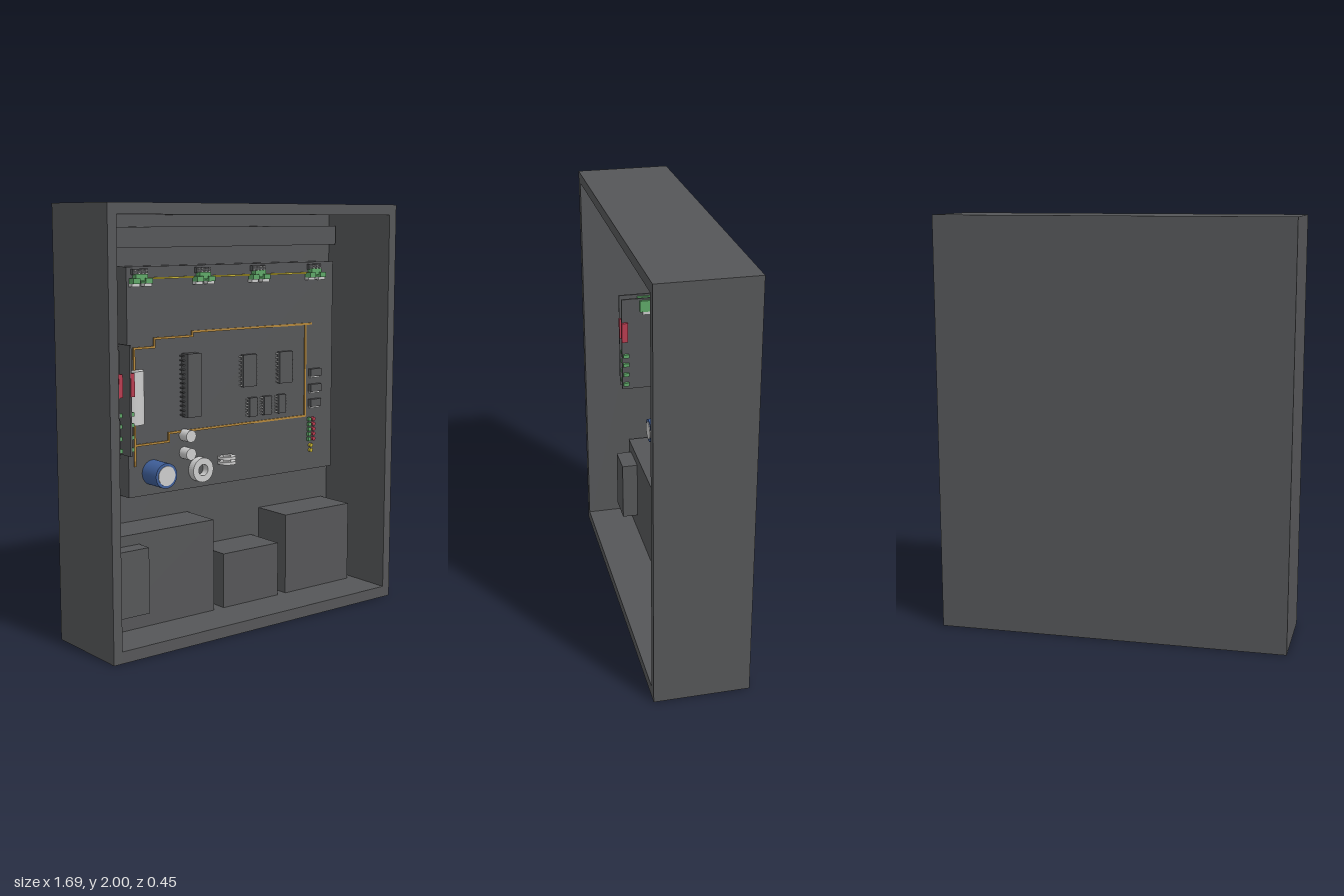
import * as THREE from 'three';

const mat = (color) => new THREE.MeshStandardMaterial({ color });
const DARK = mat(0x555658), GREY = mat(0xcccccc), GREEN = mat(0x5fa868), RED = mat(0xb83c50);
const COPPER = mat(0xb5883c), YELLOW = mat(0xc8b432), BLUE = mat(0x3f5f9a);
const BACK = -0.215, BOARD = -0.14; // inner face of the back wall, front face of the main board

export function createModel() {
  const model = new THREE.Group();

  const add = (parent, name, geometry, material, x = 0, y = 0, z = 0) => {
    const mesh = new THREE.Mesh(geometry, material);
    mesh.name = name;
    mesh.position.set(x, y, z);
    parent.add(mesh);
    return mesh;
  };
  // Box given by its limits on each axis
  const block = (parent, name, m, x0, x1, y0, y1, z0, z1) =>
    add(parent, name, new THREE.BoxGeometry(x1 - x0, y1 - y0, z1 - z0), m,
      (x0 + x1) / 2, (y0 + y1) / 2, (z0 + z1) / 2);
  // Cylinder standing out from the board
  const stud = (parent, name, m, x, y, r, z0, z1, seg = 32) => {
    const mesh = add(parent, name, new THREE.CylinderGeometry(r, r, z1 - z0, seg), m, x, y, (z0 + z1) / 2);
    mesh.rotation.x = Math.PI / 2;
    return mesh;
  };
  const group = (name) => {
    const g = new THREE.Group();
    g.name = name;
    model.add(g);
    return g;
  };
  // Ring of rectangular section around the y axis
  const ring = (r0, r1, h) => {
    const pts = [[r0, -h], [r1, -h], [r1, h], [r0, h], [r0, -h]].map(([r, y]) => new THREE.Vector2(r, y / 2));
    const g = new THREE.LatheGeometry(pts, 40).toNonIndexed();
    g.computeVertexNormals();
    return g;
  };

  // Open-fronted cabinet
  const cabinet = group('cabinet');
  block(cabinet, 'backWall', DARK, -0.845, 0.845, 0, 2, -0.225, BACK);
  for (const s of [-1, 1]) {
    add(cabinet, s < 0 ? 'rightWall' : 'leftWall', new THREE.BoxGeometry(0.045, 2, 0.44), DARK, s * 0.8225, 1, 0.005);
  }
  block(cabinet, 'floor', DARK, -0.8, 0.8, 0, 0.055, BACK, 0.225);
  block(cabinet, 'roof', DARK, -0.8, 0.8, 1.95, 2, BACK, 0.225);
  block(cabinet, 'cableDuct', DARK, -0.79, 0.785, 1.8, 1.895, BACK, -0.15);

  // Power units standing on the floor
  const units = group('powerUnits');
  block(units, 'largeUnit', DARK, -0.77, -0.125, 0.055, 0.505, BACK, 0);
  block(units, 'largeUnitCover', DARK, -0.715, -0.555, 0.145, 0.455, 0, 0.08);
  block(units, 'smallUnit', DARK, -0.065, 0.28, 0.055, 0.325, BACK, 0);
  block(units, 'sideUnit', DARK, 0.33, 0.76, 0.055, 0.46, BACK, 0);

  block(model, 'mainBoard', DARK, -0.515, 0.76, 0.64, 1.715, BACK, BOARD);

  // Copper tracks: axis-aligned runs between corner points
  const tracks = group('copperTracks');
  const runs = [
    [[-0.48, 0.79], [-0.48, 1.34], [-0.365, 1.34], [-0.365, 1.38], [-0.145, 1.38], [-0.145, 1.4], [0.61, 1.4]],
    [[0.573, 1.4], [0.573, 0.925], [-0.287, 0.925], [-0.287, 0.885], [-0.48, 0.885]],
  ];
  for (const run of runs) {
    for (let i = 1; i < run.length; i++) {
      const [[ax, ay], [bx, by]] = [run[i - 1], run[i]];
      block(tracks, 'track', COPPER, Math.min(ax, bx) - 0.005, Math.max(ax, bx) + 0.005,
        Math.min(ay, by) - 0.005, Math.max(ay, by) + 0.005, BOARD, BOARD + 0.006);
    }
  }

  // Terminal row joined by a yellow wire
  const terminals = group('terminals');
  block(terminals, 'wire', YELLOW, -0.48, 0.63, 1.656, 1.664, BOARD, BOARD + 0.01);
  for (const x of [-0.448, -0.087, 0.253, 0.623]) {
    block(terminals, 'terminalBody', GREEN, x - 0.033, x + 0.033, 1.65, 1.682, BOARD, BOARD + 0.03);
    block(terminals, 'terminalBase', DARK, x - 0.042, x + 0.042, 1.678, 1.705, BOARD, BOARD + 0.016);
    for (let i = 0; i < 4; i++) {
      for (const y of [1.685, 1.698]) {
        block(terminals, 'pin', GREY, x - 0.037 + i * 0.021, x - 0.027 + i * 0.021, y - 0.003, y + 0.003, BOARD, BOARD + 0.024);
      }
    }
    for (const s of [-1, 1]) {
      const c = x + s * 0.034;
      block(terminals, 'clamp', GREEN, c - 0.019, c + 0.019, 1.638, 1.663, BOARD, BOARD + 0.04);
      block(terminals, 'clampFoot', GREY, c - 0.021, c + 0.021, 1.624, 1.638, BOARD, BOARD + 0.03);
    }
  }

  // Chips with a row of legs down each side
  const chips = group('chips');
  const chip = (x, y, w, h, depth, legs, legMat) => {
    block(chips, 'chipBody', DARK, x - w / 2, x + w / 2, y - h / 2, y + h / 2, BOARD, BOARD + depth);
    for (let i = 0; i < legs; i++) {
      const ly = y + ((i + 0.5) / legs - 0.5) * h;
      for (const s of [-1, 1]) {
        const lx = x + s * (w / 2 + 0.005);
        block(chips, 'leg', legMat, lx - 0.007, lx + 0.007, ly - 0.003, ly + 0.003, BOARD, BOARD + depth * 0.5);
      }
    }
  };
  chip(-0.167, 1.148, 0.08, 0.305, 0.05, 14, DARK);
  for (const x of [0.195, 0.43]) chip(x, 1.19, 0.084, 0.16, 0.022, 8, GREY);
  for (const x of [0.218, 0.312, 0.407]) chip(x, 1.005, 0.048, 0.095, 0.02, 6, GREY);

  // Regulators at the board's edge
  const regulators = group('regulators');
  for (const y of [1.143, 1.063, 0.985]) {
    block(regulators, 'regulatorBody', DARK, 0.598, 0.67, y - 0.014, y + 0.025, BOARD, BOARD + 0.022);
    block(regulators, 'regulatorTab', GREY, 0.602, 0.666, y - 0.022, y - 0.014, BOARD, BOARD + 0.012);
  }

  // Indicator lamps
  const lamps = group('lamps');
  for (let i = 0; i < 5; i++) {
    const y = 0.905 - i * 0.026;
    block(lamps, 'greenLamp', GREEN, 0.591, 0.609, y - 0.009, y + 0.009, BOARD, BOARD + 0.015);
    stud(lamps, 'redLamp', RED, 0.628, y, 0.01, BOARD, BOARD + 0.015, 16);
  }
  for (const y of [0.768, 0.742]) stud(lamps, 'yellowLamp', YELLOW, 0.611, y, 0.01, BOARD, BOARD + 0.015, 16);

  // Capacitors
  const caps = group('capacitors');
  add(caps, 'uprightCapacitor', new THREE.CylinderGeometry(0.0625, 0.0625, 0.25, 40), GREY, -0.4985, 1.115, BOARD);
  stud(caps, 'blueCapacitor', BLUE, -0.38, 0.747, 0.06, BOARD, -0.025, 40);
  stud(caps, 'blueCapacitorCap', GREY, -0.38, 0.747, 0.047, -0.03, -0.022, 40);
  for (const y of [0.907, 0.82]) stud(caps, 'smallCapacitor', GREY, -0.196, y, 0.029, BOARD, -0.08);

  // Coils: one flat on the board, two thin ones edge-on
  const coils = group('coils');
  add(coils, 'largeCoil', ring(0.028, 0.06, 0.04), GREY, -0.11, 0.73, BOARD + 0.02).rotation.x = Math.PI / 2;
  for (const y of [0.773, 0.748]) add(coils, 'thinCoil', ring(0.02, 0.045, 0.015), GREY, 0.045, y, -0.115);

  // Two plug-in cards standing on edge
  for (const x of [-0.693, -0.63]) {
    const card = group('plugInCard');
    const face = x + 0.005;
    block(card, 'cardPlate', DARK, x - 0.005, face, 0.88, 1.38, BACK, 0.06);
    block(card, 'cardConnector', GREEN, face, face + 0.014, 1.31, 1.37, -0.14, -0.035);
    block(card, 'cardSocket', DARK, face, face + 0.012, 0.985, 1.01, -0.16, -0.09);
    block(card, 'cardTrim', GREY, face, face + 0.007, 1.295, 1.31, -0.12, -0.05);
    block(card, 'redRelay', RED, face - 0.006, face + 0.015, 1.15, 1.255, 0.03, 0.062);
    for (const y of [1.07, 1.02, 0.965, 0.91]) {
      block(card, 'cardLamp', GREEN, face, face + 0.015, y - 0.009, y + 0.009, 0.025, 0.055);
    }
  }

  return model;
}
